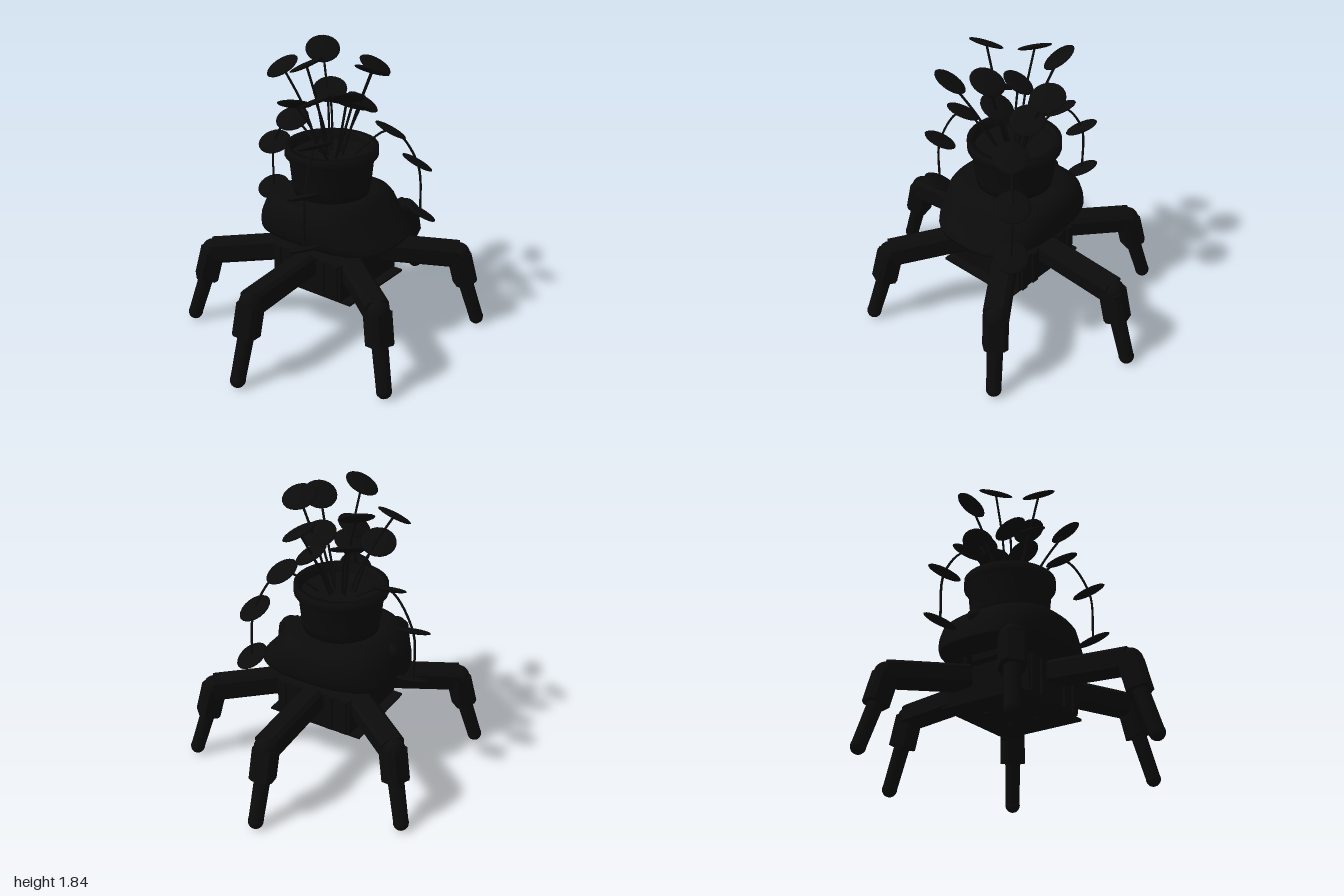
import * as THREE from 'three';

const V = (x, y, z) => new THREE.Vector3(x, y, z);
const UP = V(0, 1, 0);

export function createModel() {
  const black = new THREE.MeshStandardMaterial({ color: 0x0b0b0b, side: THREE.DoubleSide });
  black.name = 'matte black';
  const flat = black.clone();
  flat.flatShading = true;
  flat.name = 'matte black faceted';

  const model = new THREE.Group();
  model.name = 'plantWalker';

  const add = (parent, name, geometry, pos = [0, 0, 0], material = black) => {
    const mesh = new THREE.Mesh(geometry, material);
    mesh.name = name;
    mesh.position.set(...pos);
    parent.add(mesh);
    return mesh;
  };

  // Solid of revolution running between two points
  const strut = (parent, name, a, b, r0, r1, sides = 16) => {
    const mesh = add(parent, name, new THREE.CylinderGeometry(r1, r0, a.distanceTo(b), sides));
    mesh.position.copy(a).lerp(b, 0.5);
    mesh.quaternion.setFromUnitVectors(UP, b.clone().sub(a).normalize());
  };

  // Square beam with chamfered edges running between two points in the XY plane
  const beam = (parent, name, a, b, half, chamfer) => {
    const h = half, k = half - chamfer;
    const shape = new THREE.Shape([[h, -k], [h, k], [k, h], [-k, h], [-h, k], [-h, -k], [-k, -h], [k, -h]]
      .map(([x, y]) => new THREE.Vector2(x, y)));
    const geo = new THREE.ExtrudeGeometry(shape, { depth: a.distanceTo(b), bevelEnabled: false });
    const mesh = add(parent, name, geo, [a.x, a.y, a.z], flat);
    mesh.quaternion.setFromUnitVectors(V(0, 0, 1), b.clone().sub(a).normalize());
  };

  // Box chassis, base plate, bolts and side ribs
  const chassis = new THREE.Group();
  chassis.name = 'chassis';
  model.add(chassis);
  add(chassis, 'body', new THREE.BoxGeometry(0.59, 0.24, 0.52), [0, 0.48, 0]);
  add(chassis, 'basePlate', new THREE.BoxGeometry(0.57, 0.014, 0.65), [0, 0.353, 0]);
  for (const x of [-0.1, 0.1]) for (const z of [-0.12, 0.12])
    add(chassis, 'bolt', new THREE.CylinderGeometry(0.022, 0.022, 0.02, 10), [x, 0.347, z]);
  for (const s of [-1, 1]) for (const z of [-0.22, -0.12, 0.12, 0.22])
    add(chassis, 'sideRib', new THREE.BoxGeometry(0.02, 0.23, 0.045), [s * 0.3, 0.48, z]);

  // Posts and block joining the chassis to the shell
  for (const x of [-0.18, 0.18]) for (const z of [-0.235, 0.235])
    add(chassis, 'post', new THREE.CylinderGeometry(0.015, 0.015, 0.2, 10), [x, 0.61, z]);
  add(chassis, 'centreBlock', new THREE.BoxGeometry(0.256, 0.06, 0.42), [0, 0.675, -0.03]);

  // Six legs, each built pointing along +x
  const makeLeg = (angle, scale) => {
    const leg = new THREE.Group();
    leg.name = 'leg';
    const knee = V(0.815, 0.503, 0), ankle = V(0.865, 0.31, 0), foot = V(0.953, 0.048, 0);
    beam(leg, 'upperLeg', V(0.29, 0.546, 0), knee, 0.073, 0.024);
    add(leg, 'kneeJoint', new THREE.SphereGeometry(0.074, 16, 12), knee.toArray());
    beam(leg, 'shinSleeve', knee, ankle, 0.072, 0.026);
    strut(leg, 'shin', foot, V(0.85, 0.36, 0), 0.046, 0.05);
    add(leg, 'foot', new THREE.SphereGeometry(0.048, 16, 12), foot.toArray());
    leg.rotation.y = angle;
    leg.scale.set(scale, 1, 1);
    model.add(leg);
  };
  for (const side of [0, Math.PI]) {
    makeLeg(side, 1);
    for (const s of [-1, 1]) makeLeg(side + s * 0.959, 0.964);
  }

  // Domed shell from superellipse rings: height, half width, front reach, back reach
  const rings = [
    [0.685, 0, 0, 0], [0.685, 0.345, 0.465, 0.46], [0.7, 0.37, 0.457, 0.456], [0.74, 0.39, 0.42, 0.446],
    [0.8, 0.392, 0.365, 0.432], [0.87, 0.385, 0.31, 0.4], [0.91, 0.358, 0.27, 0.352],
    [0.93, 0.32, 0.24, 0.31], [0.936, 0.29, 0.21, 0.28], [0.936, 0, 0, 0]];
  const SEG = 48, pos = [], index = [];
  const bend = (v) => Math.sign(v) * Math.abs(v) ** (2 / 2.8);
  rings.forEach(([y, w, front, back], i) => {
    for (let j = 0; j <= SEG; j++) {
      const t = (j / SEG) * Math.PI * 2, c = bend(Math.cos(t));
      pos.push(w * bend(Math.sin(t)), y, c * (c > 0 ? front : back));
      if (i && j) {
        const a = (i - 1) * (SEG + 1) + j - 1, b = a + SEG + 1;
        index.push(a, a + 1, b, b, a + 1, b + 1);
      }
    }
  });
  const shell = new THREE.BufferGeometry();
  shell.setAttribute('position', new THREE.Float32BufferAttribute(pos, 3));
  shell.setIndex(index);
  shell.computeVertexNormals();
  add(model, 'shell', shell);
  add(model, 'backKnob', new THREE.SphereGeometry(0.045, 16, 12), [0, 0.852, -0.39]);

  // Flower pot with rim, and soil
  const profile = [[0, 0.92], [0.235, 0.92], [0.243, 0.99], [0.246, 0.99], [0.265, 1.175],
    [0.29, 1.175], [0.29, 1.232], [0.25, 1.232], [0.245, 1.16]];
  add(model, 'pot', new THREE.LatheGeometry(profile.map(([r, y]) => new THREE.Vector2(r, y)), 32), [0, 0, -0.028]);
  add(model, 'soil', new THREE.CylinderGeometry(0.247, 0.247, 0.02, 32), [0, 1.165, -0.028]);

  // Plant: leaves are flattened discs given as x, y, z, slope along x, slope along z
  const plant = new THREE.Group();
  plant.name = 'plant';
  model.add(plant);
  const leafGeo = new THREE.SphereGeometry(0.107, 20, 10);
  const addLeaf = ([x, y, z, sx, sz]) => {
    const leaf = add(plant, 'leaf', leafGeo, [x, y, z]);
    leaf.scale.y = 0.15;
    leaf.quaternion.setFromUnitVectors(UP, V(-sx, 1, -sz).normalize());
  };
  const addStem = (points) => add(plant, 'stem',
    new THREE.TubeGeometry(new THREE.CatmullRomCurve3(points), 24, 0.0075, 6));

  // Upright stems with one leaf each
  const upright = [
    [-0.23, 1.792, -0.035, 0.05, 0.53], [0.035, 1.745, 0.24, -0.5, 0], [0.17, 1.763, -0.225, 0.55, -0.45],
    [-0.1, 1.7, -0.325, 0.5, 0.3], [0.325, 1.673, 0.06, -0.15, -0.5], [-0.24, 1.655, 0.265, -0.47, 0.45],
    [-0.15, 1.55, -0.03, 0, 0.5], [0.13, 1.53, -0.14, 0.5, -0.3], [0, 1.518, 0.125, -0.55, 0.05],
    [0.185, 1.475, 0.07, -0.3, -0.5], [-0.13, 1.49, -0.21, -0.5, 0.3]];
  for (const leaf of upright) {
    const [x, y, z] = leaf;
    addLeaf(leaf);
    addStem([V(x * 0.25, 1.16, z * 0.25 - 0.02), V(x * 0.6, 1.16 + (y - 1.16) * 0.55, z * 0.6), V(x, y, z)]);
  }

  // Trailing stems that arch over the rim and carry three leaves
  const trailing = [
    [[0.06, 1.305, -0.385, 0.5, -0.1], [0.095, 1.095, -0.568, 0.5, -0.1], [0.1, 0.77, -0.588, 0.5, -0.1]],
    [[-0.315, 1.345, 0.09, -0.2, 0.45], [-0.475, 1.095, 0.14, -0.25, 0.45], [-0.492, 0.767, 0.145, -0.25, 0.45]],
    [[0.22, 1.325, 0.255, -0.45, -0.35], [0.345, 1.1, 0.375, -0.47, -0.35], [0.358, 0.76, 0.405, -0.47, -0.35]]];
  for (const leaves of trailing) {
    leaves.forEach(addLeaf);
    const [x, , z] = leaves[0];
    addStem([V(x * 0.3, 1.16, z * 0.3), ...leaves.map(([a, b, c]) => V(a, b, c))]);
  }
  return model;
}
